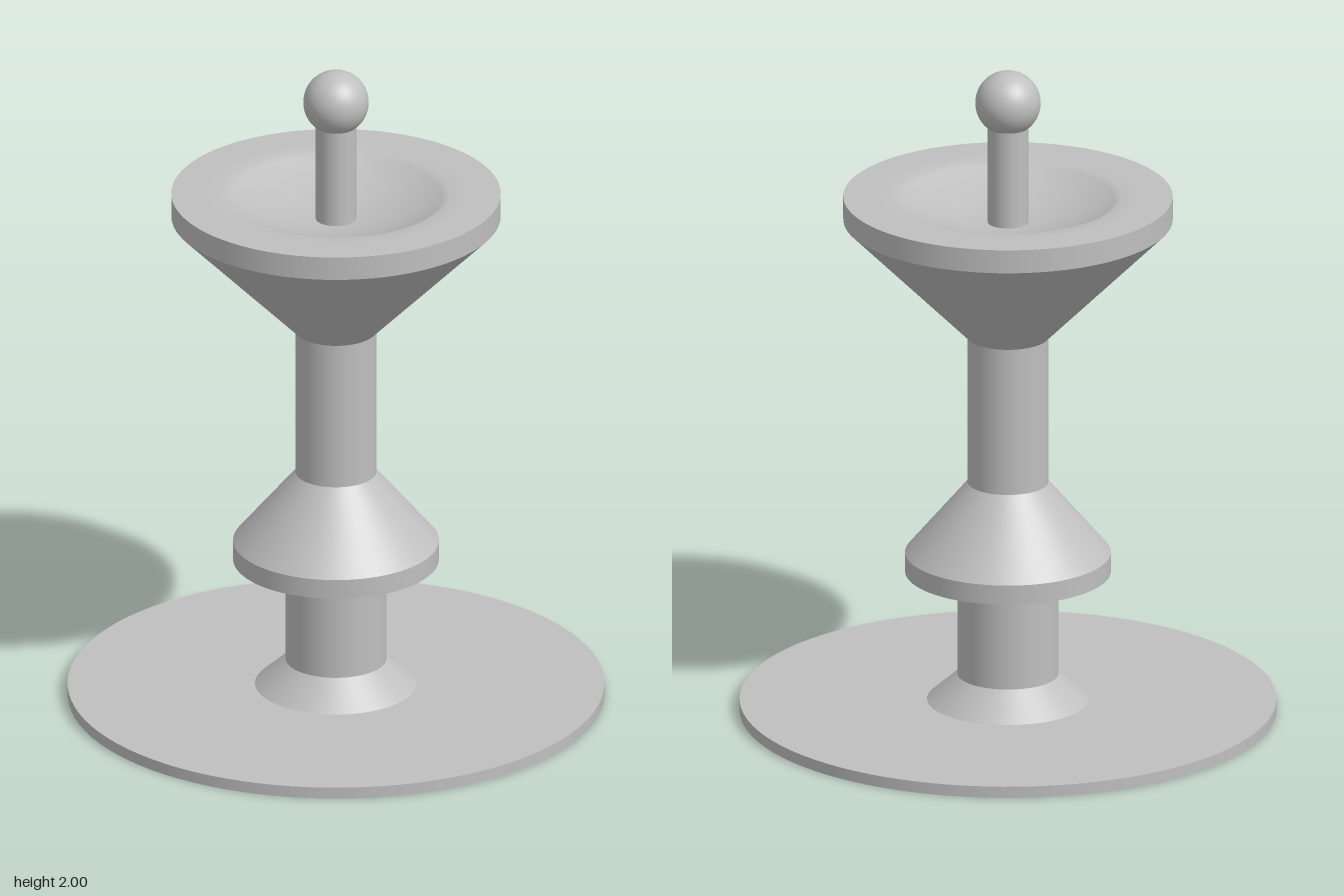
import * as THREE from 'three';

const SEGMENTS = 96;

export function createModel() {
  const model = new THREE.Group();
  model.name = 'turnedStand';
  const grey = new THREE.MeshStandardMaterial({ color: 0xbfbfbf });
  grey.name = 'plain grey';

  const v = ([r, y]) => new THREE.Vector2(r, y);
  const add = (parent, name, geometry) => {
    const mesh = new THREE.Mesh(geometry, grey);
    mesh.name = name;
    parent.add(mesh);
    return mesh;
  };

  // One lathe per straight run keeps the turned edges crisp
  function turned(name, profile) {
    const part = new THREE.Group();
    part.name = name;
    for (let i = 0; i < profile.length - 1; i++) {
      add(part, `${name}Face${i + 1}`,
        new THREE.LatheGeometry([v(profile[i]), v(profile[i + 1])], SEGMENTS));
    }
    model.add(part);
    return part;
  }

  // Thin round base with a small flared foot
  turned('basePlate', [[0, 0], [0.795, 0], [0.795, 0.035], [0.24, 0.035]]);
  turned('baseFlare', [[0.24, 0.035], [0.15, 0.115]]);

  // Stem, conical collar and upper stem
  turned('lowerStem', [[0.15, 0.115], [0.15, 0.435]]);
  turned('collar', [[0.15, 0.435], [0.305, 0.435], [0.305, 0.495], [0.12, 0.715]]);
  turned('upperStem', [[0.12, 0.715], [0.12, 1.17]]);

  // Conical cup with an upright rim
  const cup = turned('cup', [[0.12, 1.17], [0.488, 1.538], [0.488, 1.61]]);

  // Flat lip running smoothly into a shallow spherical dish
  const dishRadius = 0.335, depth = 0.083;
  const R = (dishRadius ** 2 + depth ** 2) / (2 * depth);
  const dish = [[0.488, 1.61], [0.44, 1.61], [0.39, 1.61]];
  for (let i = 0; i <= 16; i++) {
    const r = dishRadius * (1 - i / 16);
    dish.push([r, 1.61 - depth + R - Math.sqrt(R * R - r * r)]);
  }
  add(cup, 'dish', new THREE.LatheGeometry(dish.map(v), SEGMENTS));

  // Centre pin and ball finial
  turned('pin', [[0.06, 1.52], [0.06, 1.83]]);
  const ball = add(model, 'ballFinial', new THREE.SphereGeometry(0.097, 48, 32));
  ball.position.y = 1.903;

  return model;
}
